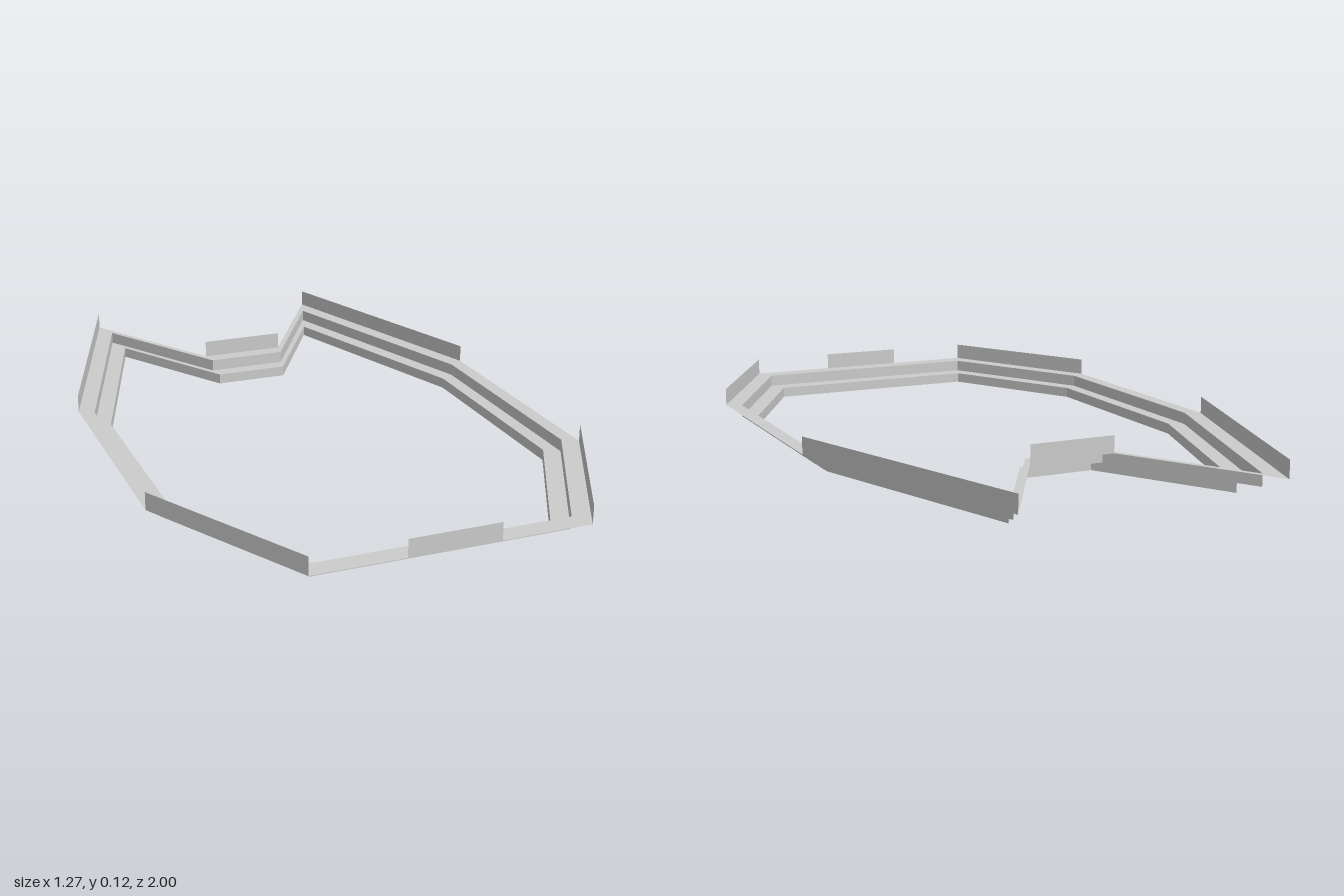
import * as THREE from 'three';

const material = new THREE.MeshStandardMaterial({ color: 0xcccccc, flatShading: true, side: THREE.DoubleSide });

// Half of the outline as [x, z], from the front edge round to the rear notch
const half = [[0.38, 1], [0.635, 0.515], [0.635, -0.225], [0.38, -1], [0.127, -0.57]];
const outline = [...half, ...half.map(([x, z]) => [-x, z]).reverse()];

// Outline scaled about the centre, shifted slightly forward, at height y
const loop = (scale, shift, y) => outline.map(([x, z]) => new THREE.Vector3(x * scale, y, z * scale + shift));

// Sheet of flat quads between two rows of points
function strip(name, lower, upper, closed) {
  const pts = [];
  const n = lower.length;
  for (let i = 0; i < (closed ? n : n - 1); i++) {
    const j = (i + 1) % n;
    pts.push(lower[i], lower[j], upper[j], lower[i], upper[j], upper[i]);
  }
  const geometry = new THREE.BufferGeometry().setFromPoints(pts);
  geometry.computeVertexNormals();
  const mesh = new THREE.Mesh(geometry, material);
  mesh.name = name;
  return mesh;
}

export function createModel() {
  const group = new THREE.Group();
  group.name = 'steppedFrame';
  const y0 = 0, y1 = 0.031, y2 = 0.066, y3 = 0.116;
  const inner = y => loop(0.867, 0.0175, y);
  const middle = y => loop(0.933, 0.009, y);
  const outer = y => loop(1, 0, y);

  // Two steps: riser, tread, riser, tread
  group.add(
    strip('lowerRiser', inner(y0), inner(y1), true),
    strip('lowerTread', inner(y1), middle(y1), true),
    strip('upperRiser', middle(y1), middle(y2), true),
    strip('upperTread', middle(y2), outer(y2), true)
  );

  // Separate upright walls standing on the outer edge
  const wall = (name, a, b) => {
    const row = y => [a, b].map(([x, z]) => new THREE.Vector3(x, y, z));
    group.add(strip(name, row(y2), row(y3), false));
  };
  for (const [side, s] of [['left', 1], ['right', -1]]) {
    const p = half.map(([x, z]) => [x * s, z]);
    wall(side + 'FrontWall', p[0], p[1]);
    wall(side + 'RearWall', p[2], p[3]);
  }
  wall('frontWall', [-0.127, 1], [0.127, 1]);
  wall('notchWall', [0.127, -0.57], [-0.127, -0.57]);
  return group;
}
